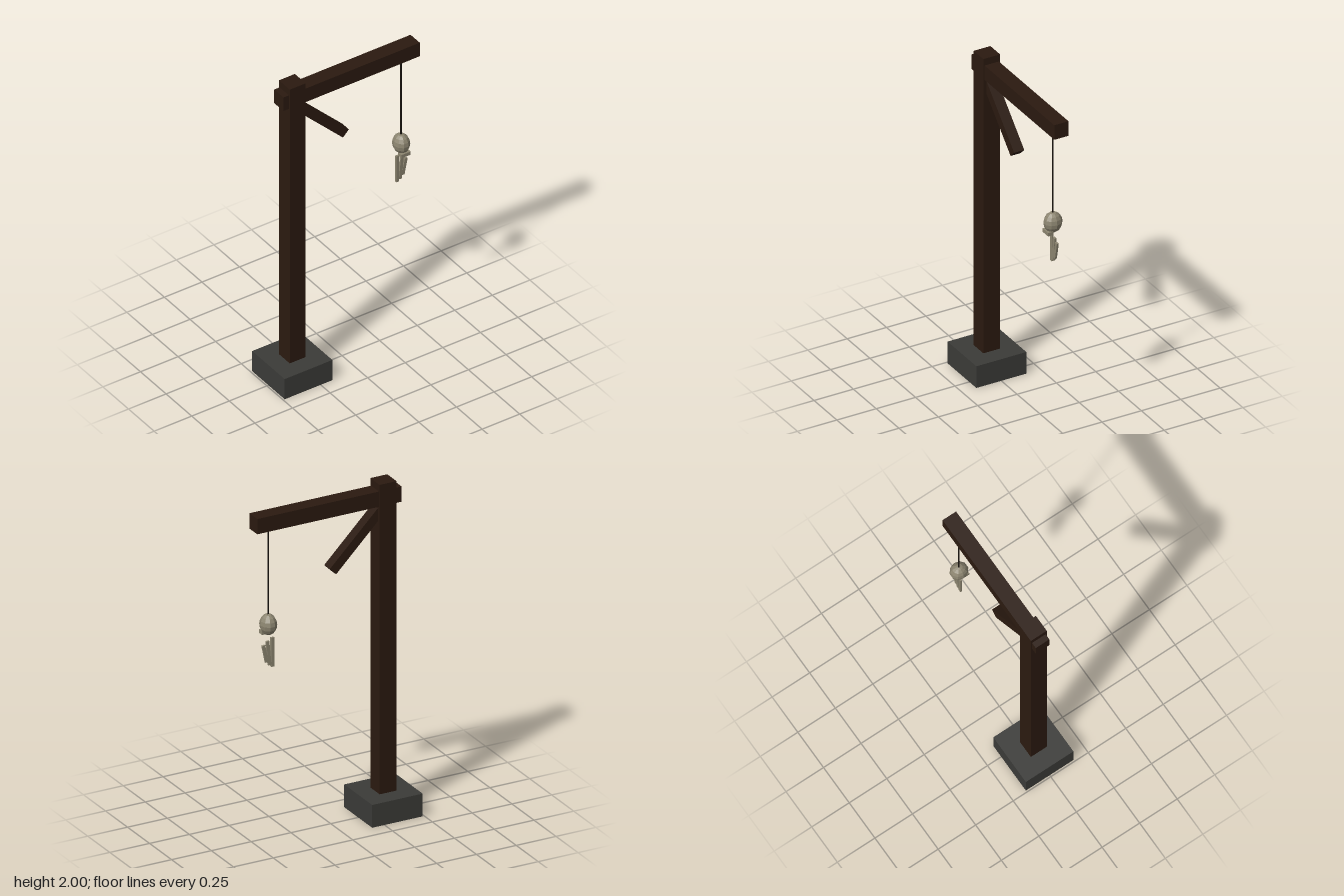
import * as THREE from 'three';

const material = (color) => {
  const m = new THREE.MeshStandardMaterial({ color, flatShading: true });
  return m;
};

export function createModel() {
  const group = new THREE.Group();
  const wood = material(0x2b1a10);
  const stone = material(0x3b3b38);
  const ropeDark = material(0x17120d);
  const bone = material(0x8c8570);

  const add = (name, geometry, mat, x, y, z = 0, tilt = 0) => {
    const mesh = new THREE.Mesh(geometry, mat);
    mesh.name = name;
    mesh.position.set(x, y, z);
    mesh.rotation.z = tilt;
    group.add(mesh);
    return mesh;
  };
  const box = (w, h, d) => new THREE.BoxGeometry(w, h, d);

  // Stone footing and timber frame
  add('base', box(0.317, 0.137, 0.317), stone, -0.331, 0.0685);
  add('post', box(0.106, 2, 0.106), wood, -0.331, 1);
  add('beam', box(0.907, 0.092, 0.09), wood, 0.033, 1.911);

  // Diagonal brace, its lower end hanging free
  const braceLength = 0.46;
  const half = (braceLength / 2) * Math.SQRT1_2;
  add('brace', box(braceLength, 0.056, 0.064), wood, 0.004 - half, 1.53 + half, 0, -Math.PI / 4);

  // Hanging rope
  const hangX = 0.393;
  add('rope', new THREE.CylinderGeometry(0.005, 0.005, 0.54, 6), ropeDark, hangX, 1.605);

  // Skull with a small jaw at the front
  const skull = add('skull', new THREE.SphereGeometry(0.055, 10, 8), bone, hangX, 1.287);
  skull.scale.set(0.88, 1.13, 1);
  add('jaw', box(0.062, 0.022, 0.034), bone, hangX, 1.233, 0.031);

  // Fanned bones below the skull: x, y, length, tilt
  const bones = [
    [0.371, 1.118, 0.175, 0],
    [0.395, 1.116, 0.146, -0.09],
    [0.417, 1.116, 0.106, -0.2],
  ];
  bones.forEach(([x, y, length, tilt], i) =>
    add(`handBone${i + 1}`, box(0.019, length, 0.012), bone, x, y, -0.006, tilt));

  return group;
}
